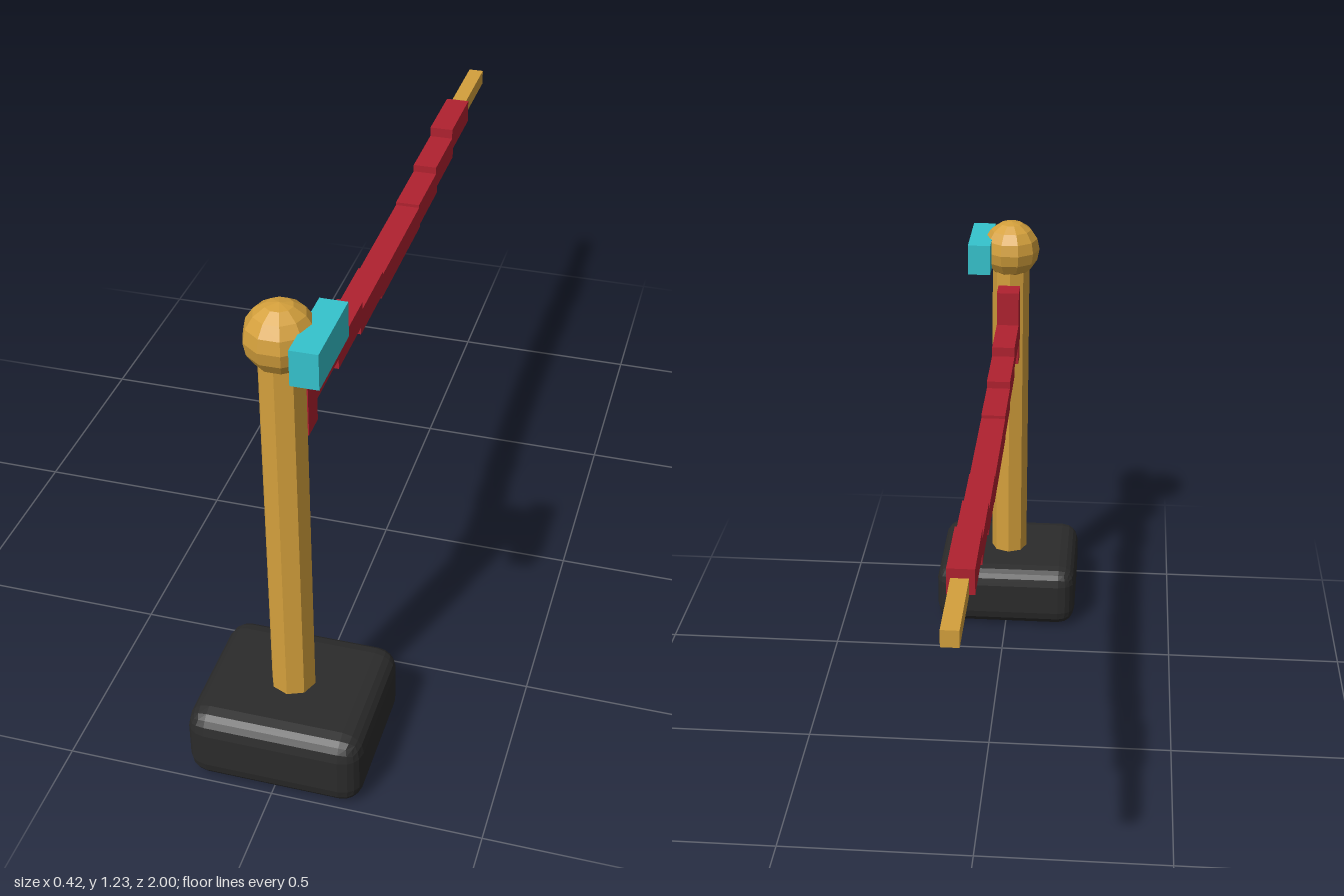
import * as THREE from 'three';
import { RoundedBoxGeometry } from 'three/addons/geometries/RoundedBoxGeometry.js';

const paint = (name, color) => {
  const m = new THREE.MeshStandardMaterial({ color });
  m.name = name;
  return m;
};

// faceted normals for the low-poly look
const facet = (geometry) => {
  const g = geometry.index ? geometry.toNonIndexed() : geometry;
  g.computeVertexNormals();
  return g;
};

export function createModel() {
  const model = new THREE.Group();
  model.name = 'ropeBarrierPost';
  const gold = paint('gold', 0xd4a03c);
  const red = paint('red', 0xb0212f);
  const teal = paint('teal', 0x35c3cd);
  const black = paint('black', 0x2b2b2b);
  const postZ = 0.814;

  const add = (name, geometry, material, x, y, z, parent = model) => {
    const mesh = new THREE.Mesh(geometry, material);
    mesh.name = name;
    mesh.position.set(x, y, z);
    parent.add(mesh);
    return mesh;
  };
  const box = (w, h, d) => new THREE.BoxGeometry(w, h, d);

  // post: heavy base, octagonal pole, ball finial
  add('base', facet(new RoundedBoxGeometry(0.42, 0.19, 0.37, 2, 0.05)), black, 0, 0.095, 0.815);
  add('pole', facet(new THREE.CylinderGeometry(0.053, 0.053, 0.96, 8)), gold, 0, 0.62, postZ);
  add('finial', facet(new THREE.SphereGeometry(0.081, 10, 8)), gold, 0, 1.146, postZ);

  // side tag beside the finial
  add('tag', box(0.063, 0.085, 0.208), teal, 0.084, 1.143, 0.816);

  // rope bracket and sagging rope made of overlapping links
  add('ropeBracket', box(0.062, 0.212, 0.064), red, 0, 0.954, 0.709);
  const rope = new THREE.Group();
  rope.name = 'rope';
  model.add(rope);
  const heights = [0.934, 0.908, 0.889, 0.881];
  for (let i = 0; i < 8; i++) {
    add('ropeLink' + (i + 1), box(0.062, 0.062, 0.193), red,
      0, heights[Math.min(i, 7 - i)], 0.6 - i * 0.181, rope);
  }

  // loose end clip
  add('endClip', box(0.04, 0.04, 0.214), gold, 0, 0.935, -0.893);

  return model;
}
